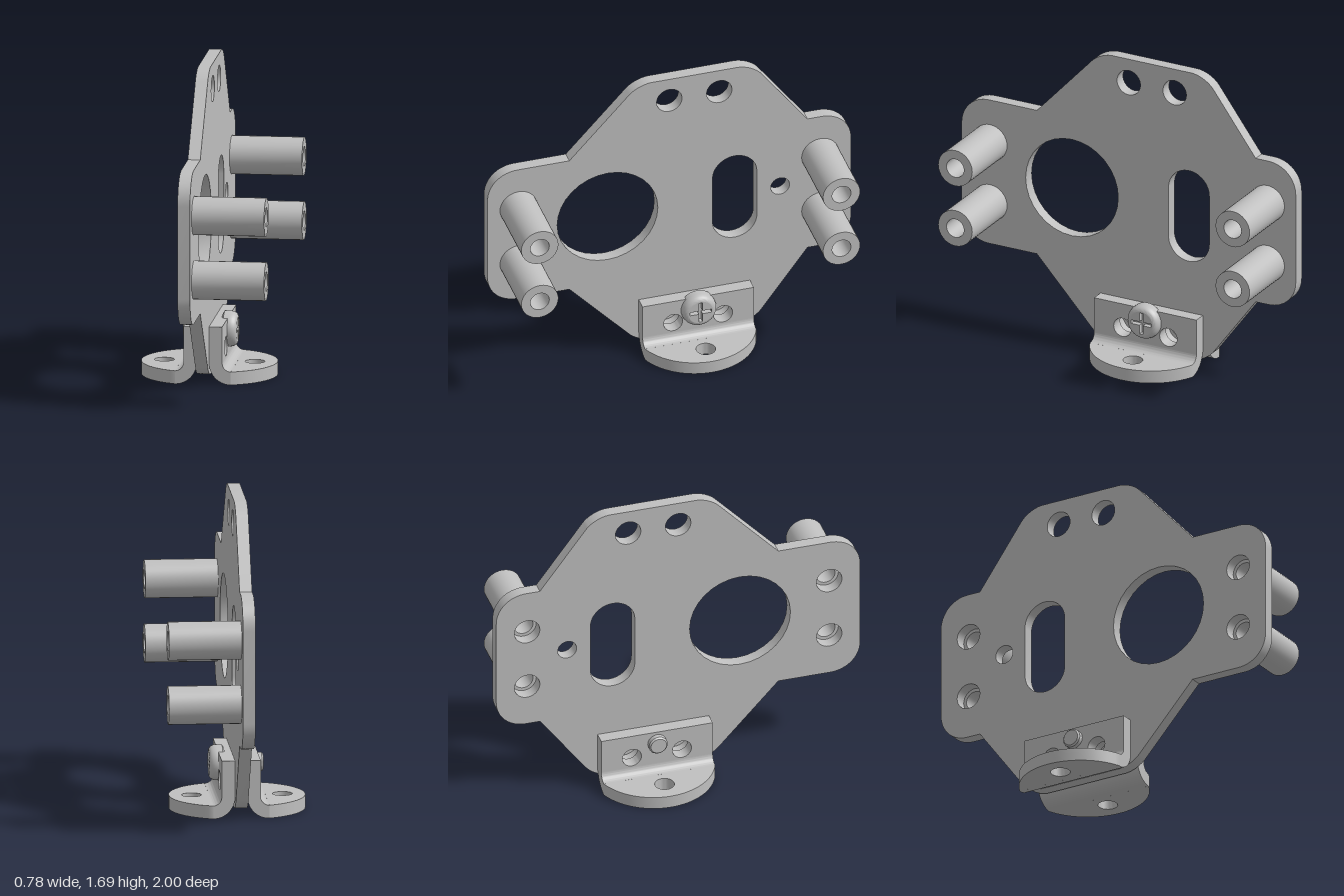
import * as THREE from 'three';
import { toCreasedNormals } from 'three/addons/utils/BufferGeometryUtils.js';

const FACE_R = 0.003, FACE_L = -0.063; // the two faces of the main plate
const MID_Z = -0.1375;                 // centre of the foot brackets

export function createModel() {
  const model = new THREE.Group();
  const steel = new THREE.MeshStandardMaterial({ color: 0xbfbfbf });
  steel.name = 'steel grey';

  const add = (parent, name, geometry) => {
    const mesh = new THREE.Mesh(toCreasedNormals(geometry, 0.6), steel);
    mesh.name = name;
    parent.add(mesh);
    return mesh;
  };
  const extrude = (shape, depth) =>
    new THREE.ExtrudeGeometry(shape, { depth, bevelEnabled: false, curveSegments: 16 });
  // Shape drawn in (-z, y), thickened along +x
  const panel = (shape, depth, x = 0) => extrude(shape, depth).rotateY(Math.PI / 2).translate(x, 0, 0);
  const circle = (x, y, r) => new THREE.Path().absarc(x, y, r, 0, Math.PI * 2, false);

  // Closed outline from [x, y, corner length]
  function roundedShape(points) {
    const shape = new THREE.Shape();
    const n = points.length;
    points.forEach(([x, y, t], i) => {
      const p = new THREE.Vector2(x, y);
      const toward = (j, d) => {
        const q = new THREE.Vector2(points[j][0], points[j][1]);
        return q.sub(p).normalize().multiplyScalar(d).add(p);
      };
      const a = toward((i + n - 1) % n, t), b = toward((i + 1) % n, t);
      if (i === 0) shape.moveTo(a.x, a.y);
      else shape.lineTo(a.x, a.y);
      if (t > 0) {
        const c = toward((i + n - 1) % n, t * 0.43), d = toward((i + 1) % n, t * 0.43);
        shape.bezierCurveTo(c.x, c.y, d.x, d.y, b.x, b.y);
      }
    });
    shape.closePath();
    return shape;
  }

  // Main plate: upper outline mirrored to the lower half
  const midY = 0.8675;
  const upper = [
    [1, 1.28, 0.165], [0.76, 1.28, 0], [0.457, 1.69, 0.085],
    [-0.17, 1.69, 0.075], [-0.55, 1.28, 0], [-1, 1.28, 0.165],
  ];
  const lower = upper.map(([x, y, t]) => [x, 2 * midY - y, t]).reverse();
  const plate = roundedShape([...upper, ...lower]);
  plate.holes.push(circle(-0.34, 0.88, 0.277), circle(0.61, 0.88, 0.052));
  for (const u of [0, 0.275])
    for (const y of [0.175, 1.555]) plate.holes.push(circle(u, y, 0.07));
  const slot = new THREE.Path();
  slot.absarc(0.36, 1.003, 0.122, 0, Math.PI, false);
  slot.absarc(0.36, 0.726, 0.122, Math.PI, Math.PI * 2, false);
  slot.closePath();
  plate.holes.push(slot);

  // Four hollow standoffs over the wing holes
  const ring = new THREE.Shape().absarc(0, 0, 0.102, 0, Math.PI * 2, false);
  ring.holes.push(circle(0, 0, 0.052));
  for (const z of [0.83, -0.83])
    for (const y of [0.692, 1.037]) {
      plate.holes.push(circle(-z, y, 0.07));
      add(model, 'standoff', panel(ring, 0.387 - FACE_R)).position.set(FACE_R, y, z);
    }
  add(model, 'mountingPlate', panel(plate, FACE_R - FACE_L, FACE_L));

  // Bent foot bracket, outward along +x
  const half = 0.306, thick = 0.07, bendR = 0.115, footR = 0.327;
  function footBracket(name, x, turn) {
    const bracket = new THREE.Group();
    bracket.name = name;

    const wall = roundedShape([[-half, bendR, 0], [half, bendR, 0], [half, 0.31, 0], [-half, 0.31, 0]]);
    for (const u of [-0.1375, 0.1375]) wall.holes.push(circle(u, 0.175, 0.052));
    add(bracket, 'bracketWall', panel(wall, thick));

    const bend = new THREE.Shape();
    bend.absarc(bendR, bendR, bendR, Math.PI, Math.PI * 1.5, false);
    bend.absarc(bendR, bendR, bendR - thick, Math.PI * 1.5, Math.PI, true);
    bend.closePath();
    add(bracket, 'bracketBend', extrude(bend, half * 2).translate(0, 0, -half));

    const a = Math.asin(half / footR);
    const foot = new THREE.Shape();
    foot.moveTo(bendR, -half);
    foot.absarc(0, 0, footR, -a, a, false);
    foot.lineTo(bendR, half);
    foot.closePath();
    foot.holes.push(circle(0.207, 0, 0.052));
    add(bracket, 'bracketFoot', extrude(foot, thick).rotateX(-Math.PI / 2));

    bracket.position.set(x, 0, MID_Z);
    bracket.rotation.y = turn;
    model.add(bracket);
  }
  footBracket('leftFootBracket', FACE_R, 0);
  footBracket('rightFootBracket', FACE_L, Math.PI);

  // Pan-head screw through both brackets
  const screw = new THREE.Group();
  screw.name = 'screw';
  screw.position.set(0, 0.243, MID_Z);
  model.add(screw);
  const lathe = (pts) =>
    new THREE.LatheGeometry(pts.map(([r, y]) => new THREE.Vector2(r, y)), 32).rotateZ(-Math.PI / 2);
  add(screw, 'screwShank', lathe([[0, -0.167], [0.043, -0.167], [0.051, -0.158], [0.051, 0.045]]));
  const rim = [[0, 0.04], [0.08, 0.04], [0.095, 0.05]];
  for (let i = 0; i <= 6; i++) {
    const t = (i / 6) * Math.PI / 2;
    rim.push([0.067 + 0.028 * Math.cos(t), 0.078 + 0.042 * Math.sin(t)]);
  }
  add(screw, 'screwHead', lathe(rim));

  // Cap of the head with its cross-shaped recess
  const cap = new THREE.Shape().absarc(0, 0, 0.067, 0, Math.PI * 2, false);
  const w = 0.01, l = 0.06;
  cap.holes.push(new THREE.Path([
    [w, w], [w, l], [-w, l], [-w, w], [-l, w], [-l, -w],
    [-w, -w], [-w, -l], [w, -l], [w, -w], [l, -w], [l, w],
  ].map(([x, y]) => new THREE.Vector2(x, y))));
  add(screw, 'screwCap', panel(cap, 0.04, 0.08));
  add(screw, 'recessFloor', panel(new THREE.Shape().absarc(0, 0, 0.066, 0, Math.PI * 2, false), 0.02, 0.07));

  return model;
}
